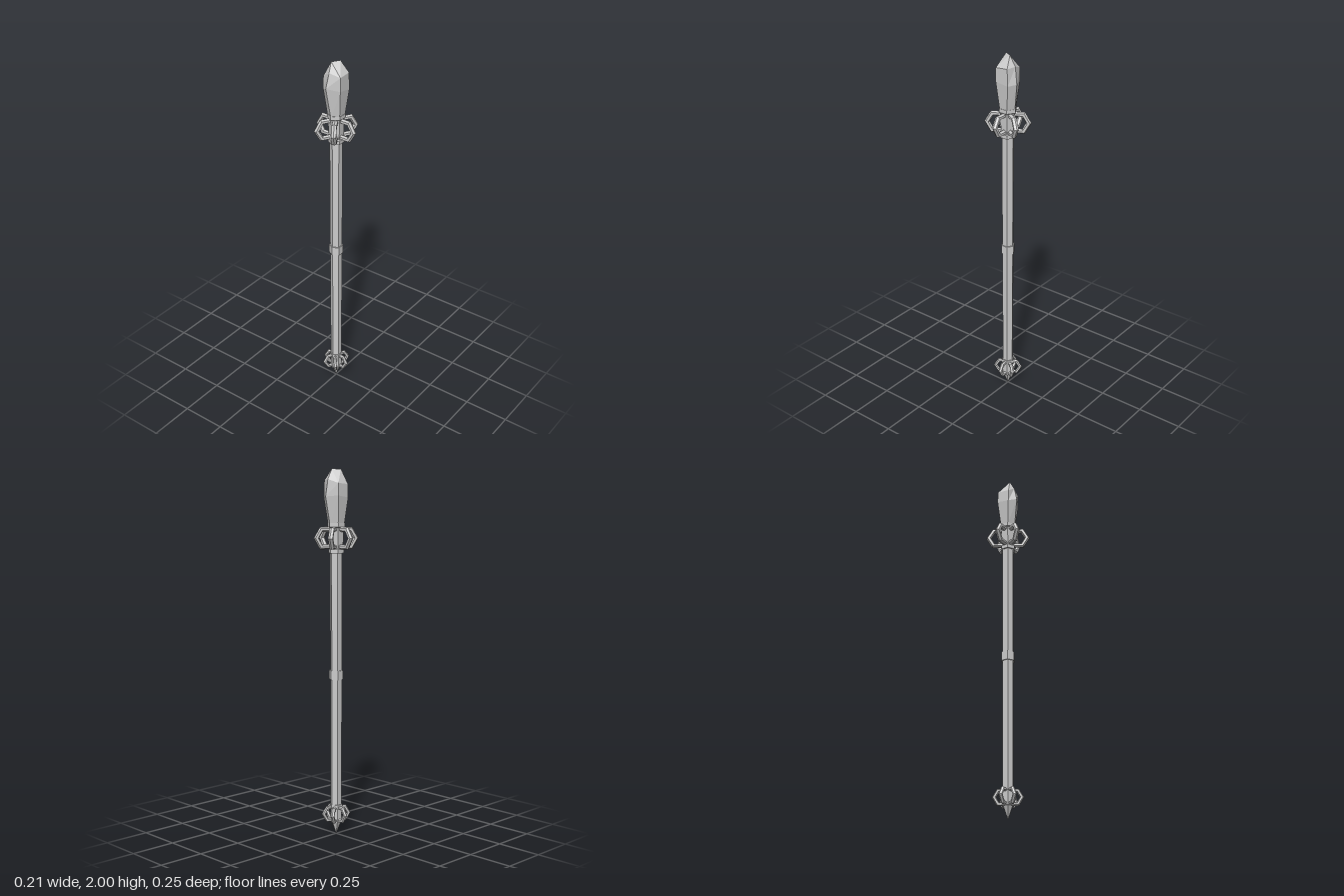
import * as THREE from 'three';

const material = new THREE.MeshStandardMaterial({ color: 0xcccccc, flatShading: true });

function addMesh(parent, name, geometry) {
  const mesh = new THREE.Mesh(geometry, material);
  mesh.name = name;
  parent.add(mesh);
  return mesh;
}

// Six-sided turned part with corners on the x axis; profile is [radius, y] from bottom to top
function hexTurned(profile) {
  const points = profile.map(([r, y]) => new THREE.Vector2(r, y));
  return new THREE.LatheGeometry(points, 6, Math.PI / 6);
}

// Skin between loops of equal point count (ordered to run from +x towards -z), capped below
function loft(loops) {
  const n = loops[0].length;
  const index = [];
  for (let k = 0; k < loops.length - 1; k++) {
    for (let i = 0; i < n; i++) {
      const a = k * n + i, b = k * n + (i + 1) % n;
      index.push(a, b, b + n, a, b + n, a + n);
    }
  }
  for (let i = 1; i < n - 1; i++) index.push(0, i + 1, i);
  const geometry = new THREE.BufferGeometry();
  geometry.setAttribute('position', new THREE.Float32BufferAttribute(loops.flat(2), 3));
  geometry.setIndex(index);
  geometry.computeVertexNormals();
  return geometry;
}

// Six upright hexagonal rings around the shaft, one on each flat
function ringCrown(name, y, offset, radius, tube) {
  const crown = new THREE.Group();
  crown.name = name;
  const geometry = new THREE.TorusGeometry(radius, tube, 6, 6);
  geometry.translate(offset, 0, 0);
  for (let i = 0; i < 6; i++) {
    const ring = addMesh(crown, 'ring' + (i + 1), geometry);
    ring.rotation.y = Math.PI / 6 + i * Math.PI / 3;
  }
  crown.position.y = y;
  return crown;
}

export function createModel() {
  const staff = new THREE.Group();
  staff.name = 'staff';

  // Shaft with a pointed foot
  addMesh(staff, 'shaft', hexTurned([[0, 0], [0.032, 0.08], [0.031, 0.16], [0.034, 1.6], [0, 1.6]]));
  addMesh(staff, 'footBand', hexTurned([[0, 0.07], [0.035, 0.07], [0.035, 0.085], [0, 0.085]]));
  addMesh(staff, 'lowerBand', hexTurned([[0, 0.15], [0.036, 0.15], [0.036, 0.17], [0, 0.17]]));
  addMesh(staff, 'gripBand', hexTurned([[0, 0.87], [0.039, 0.87], [0.039, 0.92], [0, 0.92]]));

  // Collar that holds the crystal
  addMesh(staff, 'collar', hexTurned([
    [0, 1.555], [0.043, 1.555], [0.043, 1.575], [0.038, 1.58],
    [0.043, 1.69], [0.048, 1.695], [0.048, 1.715], [0, 1.715],
  ]));

  // Ring crowns
  staff.add(ringCrown('upperRings', 1.635, 0.055, 0.0535, 0.0145));
  staff.add(ringCrown('lowerRings', 0.116, 0.03, 0.041, 0.011));

  // Crystal: narrow base, wide belly, cut shoulder, slanting ridge on top
  const base = [];
  for (let i = 0; i < 6; i++) {
    const a = i * Math.PI / 3;
    base.push([0.044 * Math.cos(a), 1.7, -0.044 * Math.sin(a)]);
  }
  const belly = [
    [0.066, 1.855, 0.012], [0.036, 1.86, -0.055], [-0.036, 1.85, -0.055],
    [-0.068, 1.87, -0.014], [-0.037, 1.86, 0.053], [0.04, 1.85, 0.053],
  ];
  const shoulder = [
    [0.053, 1.945, 0.008], [0.035, 1.925, -0.053], [-0.036, 1.92, -0.053],
    [-0.048, 1.95, -0.008], [-0.036, 1.935, 0.053], [0.036, 1.94, 0.053],
  ];
  const left = [0.021, 2, 0.011], right = [-0.022, 2, -0.014];
  addMesh(staff, 'crystal', loft([base, belly, shoulder, [left, left, right, right, right, left]]));

  return staff;
}
